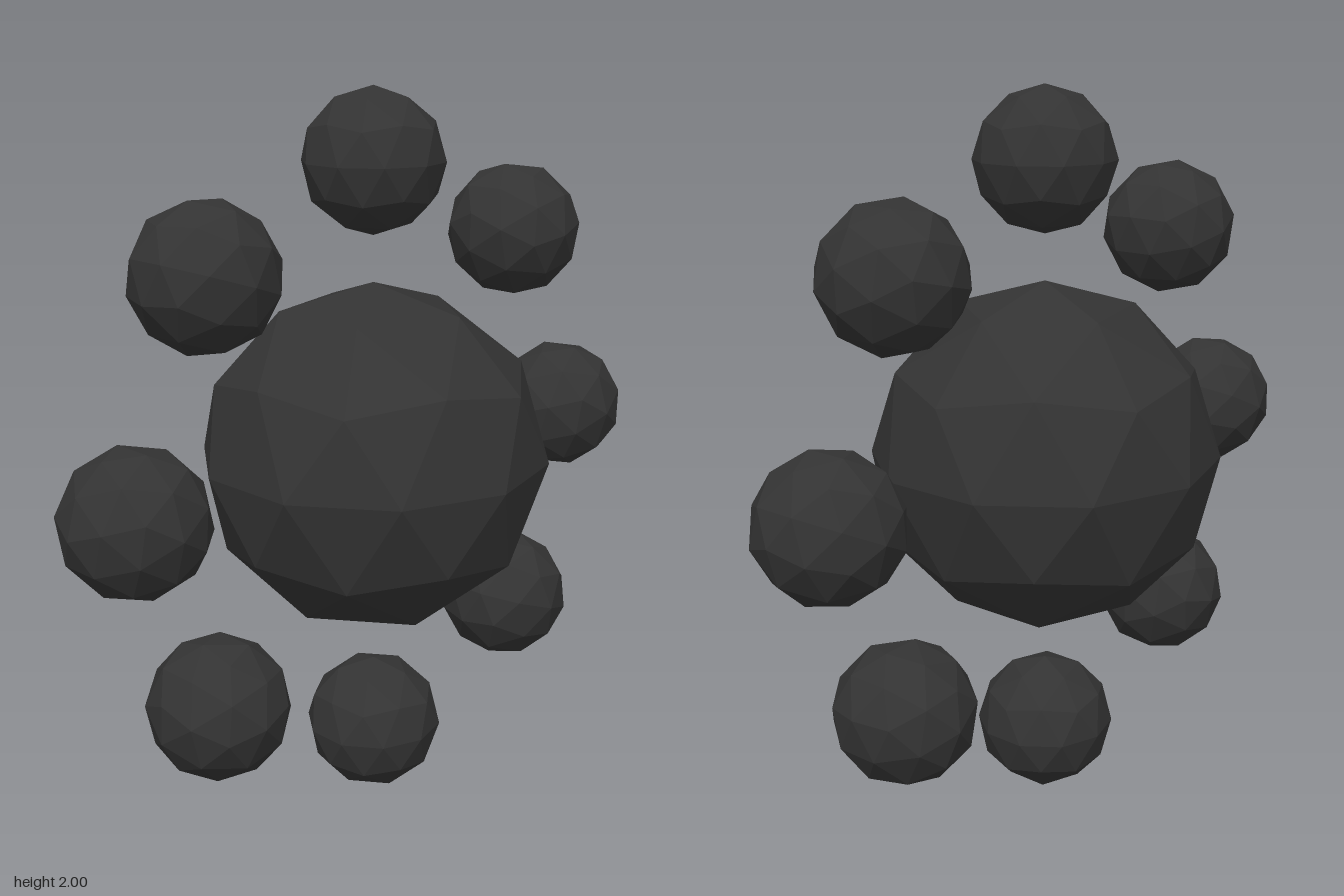
import * as THREE from 'three';

const CORE_RADIUS = 0.4854;
const BALL_RADIUS = 0.1942;
const RING_RADIUS = 0.8058;
const BALL_COUNT = 8;

// Faceted 80-sided ball with a corner pointing straight up
function facetedBall(radius) {
  const phi = (1 + Math.sqrt(5)) / 2;
  return new THREE.IcosahedronGeometry(radius, 1).rotateZ(-Math.atan(1 / phi));
}

export function createModel() {
  const group = new THREE.Group();
  group.name = 'ringOfBalls';
  const material = new THREE.MeshStandardMaterial({ color: 0x333333, flatShading: true });

  // Large ball in the middle
  const core = new THREE.Mesh(facetedBall(CORE_RADIUS), material);
  core.name = 'centralBall';
  core.position.y = 1;
  group.add(core);

  // Small balls in an upright ring, each turned so its top corner points outwards
  const ballGeometry = facetedBall(BALL_RADIUS);
  for (let i = 0; i < BALL_COUNT; i++) {
    const angle = (i / BALL_COUNT) * Math.PI * 2;
    const ball = new THREE.Mesh(ballGeometry, material);
    ball.name = `outerBall${i + 1}`;
    ball.position.set(-Math.sin(angle) * RING_RADIUS, 1 + Math.cos(angle) * RING_RADIUS, 0);
    ball.rotation.z = angle;
    group.add(ball);
  }
  return group;
}
